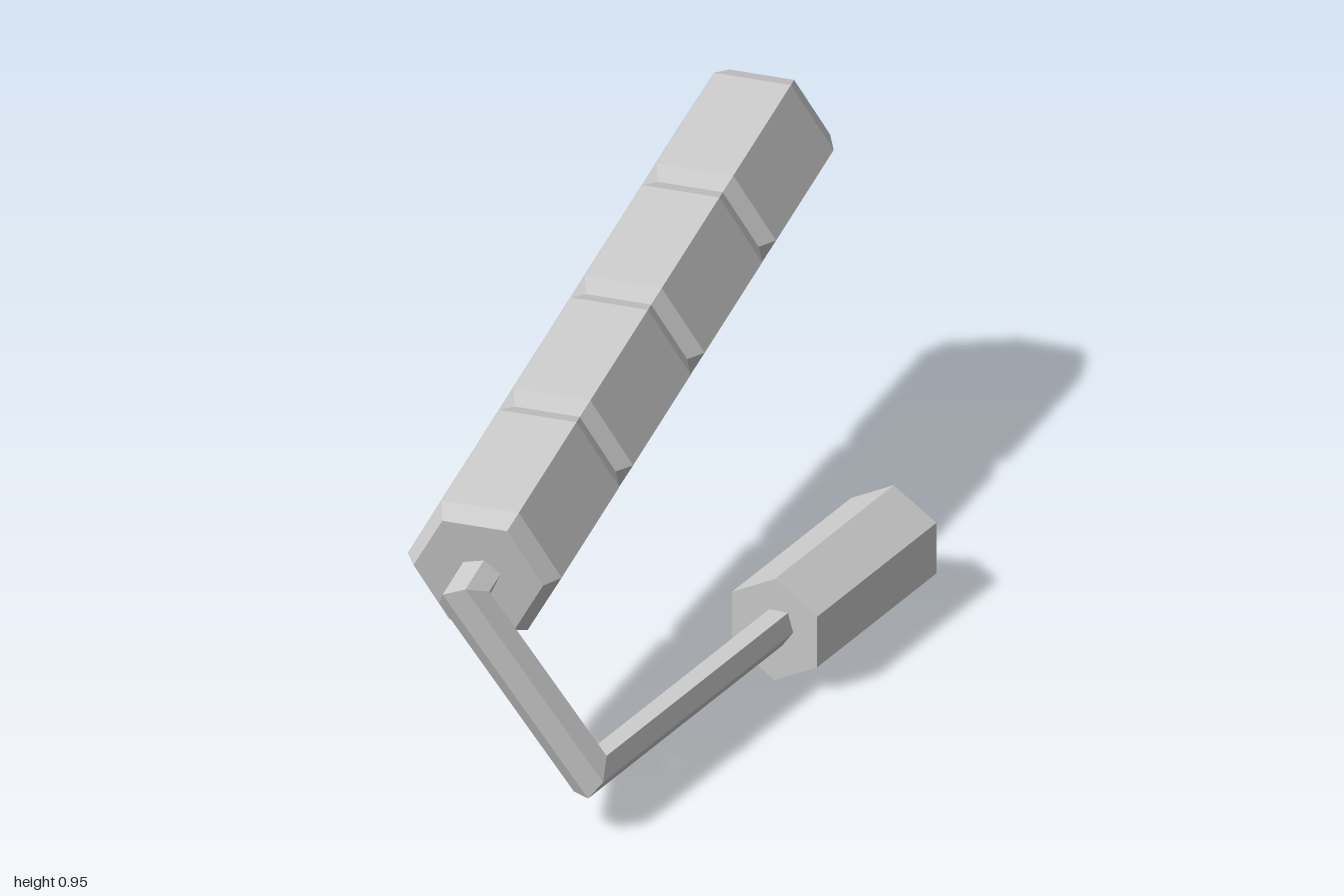
import * as THREE from 'three';

const material = new THREE.MeshStandardMaterial({ color: 0xcccccc, flatShading: true });

function part(name, geometry) {
  const mesh = new THREE.Mesh(geometry, material);
  mesh.name = name;
  return mesh;
}

// Sweep a closed section (drawn in the xy plane) along a path with mitred corners
function mitredRod(section, path) {
  const n = section.length;
  const dirs = path.slice(1).map((p, i) => p.clone().sub(path[i]).normalize());
  const positions = [];
  const index = [];
  let ring = section.map(([x, y]) => new THREE.Vector3(x, y, 0).add(path[0]));
  path.forEach((p, k) => {
    if (k > 0) {
      const along = dirs[k - 1];
      const normal = along.clone().add(dirs[k] ?? along).normalize();
      ring = ring.map((v) => {
        const t = p.clone().sub(v).dot(normal) / along.dot(normal);
        return v.clone().addScaledVector(along, t);
      });
      for (let i = 0; i < n; i++) {
        const j = (i + 1) % n;
        const a = (k - 1) * n;
        const b = k * n;
        index.push(a + i, a + j, b + j, a + i, b + j, b + i);
      }
    }
    ring.forEach((v) => positions.push(v.x, v.y, v.z));
  });
  const geometry = new THREE.BufferGeometry();
  geometry.setAttribute('position', new THREE.Float32BufferAttribute(positions, 3));
  geometry.setIndex(index);
  geometry.computeVertexNormals();
  return geometry;
}

export function createModel() {
  const model = new THREE.Group();
  model.name = 'paintRoller';

  // Roller axis, running from the front end to the back
  const rollerStart = new THREE.Vector3(0.057, 0.585, 0.83);
  const axis = new THREE.Vector3(-0.336, 0.205, -1.75).normalize();

  // Roller sleeve: four six-sided sections with bevelled ends and grooves between
  const R = 0.188;
  const r = 0.158;
  const period = 0.469;
  const profile = [new THREE.Vector2(0, -0.042), new THREE.Vector2(r, -0.042)];
  for (let i = 0; i < 4; i++) {
    const s = i * period;
    profile.push(
      new THREE.Vector2(R, s),
      new THREE.Vector2(R, s + 0.378),
      new THREE.Vector2(r, s + 0.435)
    );
  }
  profile.push(new THREE.Vector2(0, 3 * period + 0.435));
  const sleeve = part('rollerSleeve', new THREE.LatheGeometry(profile, 6));
  const side = new THREE.Vector3(1, 0, 0).projectOnPlane(axis).normalize();
  const basis = new THREE.Matrix4().makeBasis(axis.clone().cross(side), axis, side);
  sleeve.quaternion.setFromRotationMatrix(basis);
  sleeve.position.copy(rollerStart);
  model.add(sleeve);

  // Handle grip: hexagonal prism with a corner at the top
  const grip = part('handleGrip', new THREE.CylinderGeometry(0.1316, 0.1316, 0.523, 6));
  grip.rotation.x = Math.PI / 2;
  grip.position.set(0.35, 0.1316, -0.222);
  model.add(grip);

  // Bent frame rod from the grip round to the front end of the roller
  const half = [[0.047, 0], [0.033, 0.047], [-0.017, 0.043]];
  const section = [...half, ...half.map(([x, y]) => [-x, -y])];
  const bend = rollerStart.clone().addScaledVector(axis, -0.134);
  const path = [
    new THREE.Vector3(0.353, 0.138, -0.03),
    new THREE.Vector3(0.353, 0.138, 0.853),
    bend,
    rollerStart.clone().addScaledVector(axis, 0.05),
  ];
  model.add(part('frameRod', mitredRod(section, path)));

  return model;
}
